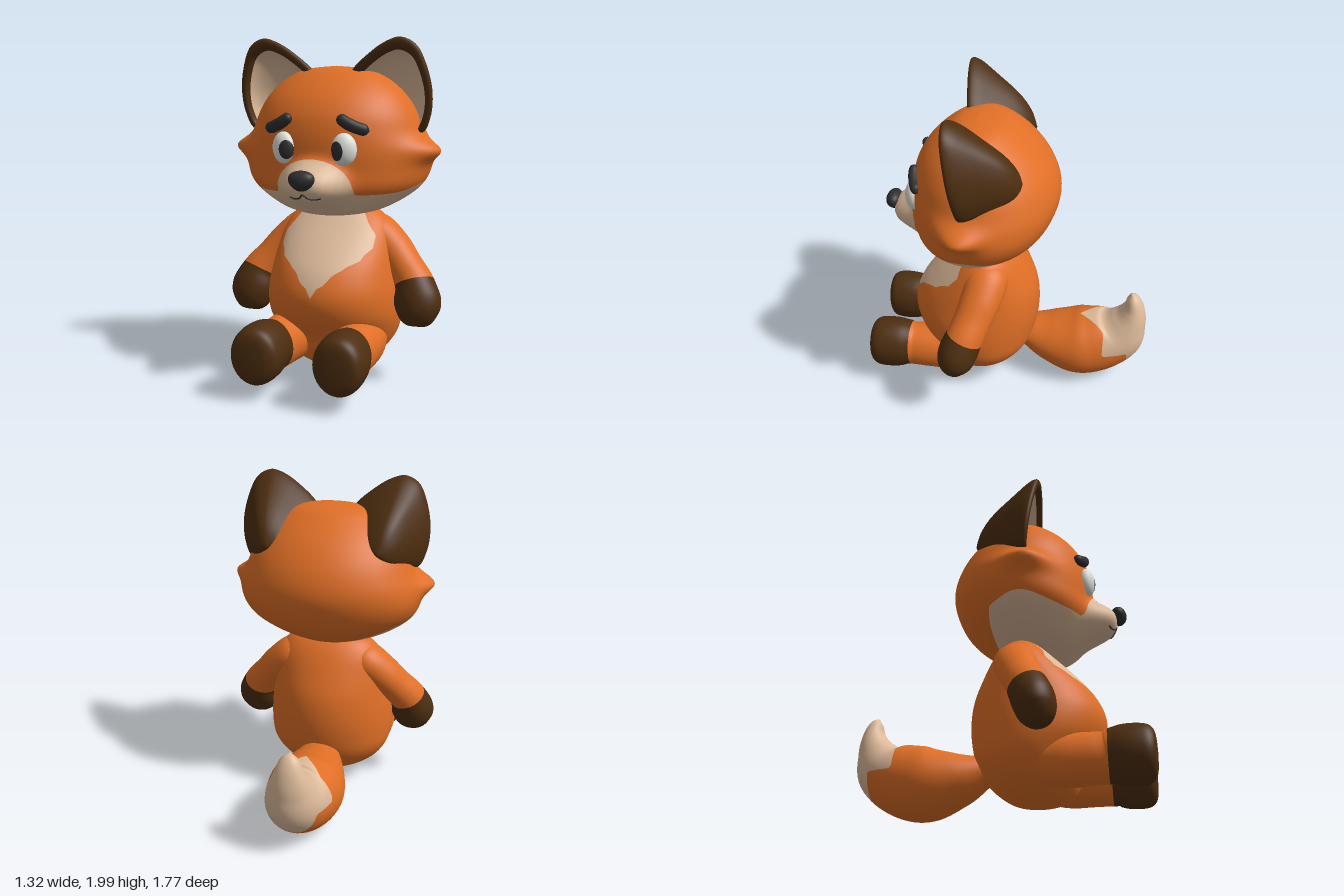
import * as THREE from 'three';
import { mergeVertices } from 'three/addons/utils/BufferGeometryUtils.js';

const mat = (name, color) => Object.assign(new THREE.MeshStandardMaterial({ color }), { name });
const V = (x, y, z) => new THREE.Vector3(x, y, z);
const X = V(1, 0, 0), Y = V(0, 1, 0), Z = V(0, 0, 1);
const bump = (d) => Math.exp(-d * d);

// Smooth value of a table of rows at t in 0..1
function sample(rows, t) {
  const f = Math.min(Math.max(t, 0), 1) * (rows.length - 1);
  const i = Math.min(Math.floor(f), rows.length - 2), s = f - i;
  const r = (k) => rows[Math.min(Math.max(k, 0), rows.length - 1)];
  return rows[0].map((_, c) => {
    const a = r(i - 1)[c], b = r(i)[c], d = r(i + 1)[c], e = r(i + 2)[c];
    return b + 0.5 * s * (d - a + s * (2 * a - 5 * b + 4 * d - e + s * (3 * (b - d) + e - a)));
  });
}

// Smooth skin over closed rings of points, always facing outwards
function skin(rings) {
  const n = rings[0].length, pos = rings.flat().flatMap((p) => [p.x, p.y, p.z]), index = [];
  for (let i = 0; i < rings.length - 1; i++) {
    for (let j = 0; j < n; j++) {
      const a = i * n + j, b = i * n + (j + 1) % n;
      index.push(a, b, a + n, b, b + n, a + n);
    }
  }
  const pts = rings.flat(), o = pts[0];
  let volume = 0;
  for (let i = 0; i < index.length; i += 3) {
    const [a, b, c] = [0, 1, 2].map((k) => pts[index[i + k]].clone().sub(o));
    volume += a.dot(b.cross(c));
  }
  if (volume < 0) index.reverse();
  const g = new THREE.BufferGeometry();
  g.setAttribute('position', new THREE.Float32BufferAttribute(pos, 3));
  g.setIndex(index);
  const merged = mergeVertices(g, 1e-5);
  merged.computeVertexNormals();
  return merged;
}

// Elliptical sections [x, y, z, radius along side, other radius]; level = horizontal sections
function loft(rows, { side = X, level = false, sign = 1, n = 40, steps = 48, shape = (p) => p }) {
  const rings = [];
  for (let i = 0; i <= steps; i++) {
    const t = i / steps, [x, y, z, ra, rb] = sample(rows, t);
    const tangent = level ? Y.clone()
      : V(...sample(rows, t + 0.01)).sub(V(...sample(rows, t - 0.01))).normalize();
    const other = tangent.clone().cross(side).normalize();
    const across = other.clone().cross(tangent);
    rings.push(Array.from({ length: n }, (_, j) => {
      const a = (j / n) * Math.PI * 2;
      const p = shape(V(x, y, z).addScaledVector(across, Math.max(ra, 0) * Math.cos(a))
        .addScaledVector(other, Math.max(rb, 0) * Math.sin(a)));
      p.x *= sign;
      return p;
    }));
  }
  return skin(rings);
}

// Cuts a surface cleanly along field = 0 and gives each side its own material
function painted(name, geo, field, inside, outside) {
  const g = geo.toNonIndexed(), P = g.attributes.position, N = g.attributes.normal;
  const pos = [], nor = [], out = new THREE.BufferGeometry();
  [1, -1].forEach((s, m) => {
    const start = pos.length / 3;
    for (let i = 0; i < P.count; i += 3) {
      const tri = [0, 1, 2].map((k) => {
        const p = V().fromBufferAttribute(P, i + k);
        return { p, n: V().fromBufferAttribute(N, i + k), f: s * field(p) };
      });
      const poly = [];
      tri.forEach((a, k) => {
        const b = tri[(k + 1) % 3];
        if (a.f >= 0) poly.push(a);
        if ((a.f >= 0) !== (b.f >= 0)) {
          const t = a.f / (a.f - b.f);
          poly.push({ p: a.p.clone().lerp(b.p, t), n: a.n.clone().lerp(b.n, t).normalize() });
        }
      });
      for (let k = 1; k < poly.length - 1; k++) {
        for (const q of [poly[0], poly[k], poly[k + 1]]) {
          pos.push(...q.p.toArray());
          nor.push(...q.n.toArray());
        }
      }
    }
    out.addGroup(start, pos.length / 3 - start, m);
  });
  out.setAttribute('position', new THREE.Float32BufferAttribute(pos, 3));
  out.setAttribute('normal', new THREE.Float32BufferAttribute(nor, 3));
  return Object.assign(new THREE.Mesh(out, [inside, outside]), { name });
}

export function createModel() {
  const fur = mat('orangeFur', 0xe06f26), cream = mat('creamFur', 0xdebb9b);
  const brown = mat('brownFur', 0x4d2e10), dark = mat('charcoal', 0x302e2f), white = mat('eyeWhite', 0xe0e2dc);
  const model = new THREE.Group();
  const add = (name, geo, m) => model.add(Object.assign(new THREE.Mesh(geo, m), { name }));

  // Head with pushed-out muzzle and pointed cheeks
  const headGeo = loft([
    [0, 1.845, 0.18, 0, 0], [0, 1.825, 0.165, 0.19, 0.125], [0, 1.77, 0.165, 0.31, 0.215],
    [0, 1.68, 0.16, 0.41, 0.315], [0, 1.58, 0.15, 0.475, 0.385], [0, 1.48, 0.138, 0.515, 0.422],
    [0, 1.38, 0.132, 0.55, 0.433], [0, 1.28, 0.14, 0.56, 0.42], [0, 1.18, 0.165, 0.52, 0.395],
    [0, 1.1, 0.185, 0.43, 0.335], [0, 1.03, 0.205, 0.3, 0.255], [0, 0.995, 0.205, 0.16, 0.165],
    [0, 0.985, 0.2, 0, 0],
  ], {
    level: true, n: 96, steps: 84,
    shape: (p) => {
      const r = (p.x / 0.17) ** 2 + ((p.y - 1.19) / 0.125) ** 2;
      const cheek = 0.09 * bump((p.y - 1.375) / 0.06) * bump((p.z - 0.22) / 0.13);
      if (p.z > 0.2) p.z += 0.145 * bump(r);
      if (Math.abs(p.x) > 0.3) p.x += Math.sign(p.x) * cheek;
      return p;
    },
  });
  model.add(painted('head', headGeo, (p) => {
    const jaw = Math.min(1.14 + 0.05 * bump((p.z - 0.17) / 0.15) - p.y, p.z + 0.03 - 3.7 * (p.y - 1.09) ** 2);
    const muzzle = 0.2 * (1 - Math.hypot(p.x / 0.225, (p.y - 1.16) / 0.18));
    return Math.max(jaw, Math.min(muzzle, p.z - 0.4));
  }, cream, fur));

  // Finds the front surface of the head
  const probe = new THREE.Mesh(headGeo, fur);
  const onHead = (x, y, lift) => {
    const hit = new THREE.Raycaster(V(x, y, 3), V(0, 0, -1)).intersectObject(probe)[0];
    return V(x, y, hit.point.z + lift);
  };

  // Nose, narrower towards the bottom
  const nose = new THREE.SphereGeometry(1, 32, 20);
  const np = nose.attributes.position;
  for (let i = 0; i < np.count; i++) np.setX(i, np.getX(i) * (1 + 0.22 * np.getY(i)));
  nose.scale(0.073, 0.056, 0.05).translate(0, 1.237, 0.715);
  nose.computeVertexNormals();
  add('nose', nose, dark);

  // Mouth line following the muzzle
  const lip = [[-0.09, 1.14], [-0.06, 1.133], [-0.025, 1.14], [0, 1.16], [0.025, 1.14], [0.06, 1.133], [0.09, 1.14]];
  const lipCurve = new THREE.CatmullRomCurve3(lip.map(([x, y]) => onHead(x, y, 0.001)));
  add('mouth', new THREE.TubeGeometry(lipCurve, 40, 0.005, 6), dark);

  // Body with a ragged chest patch
  const bodyGeo = loft([
    [0, 1.05, 0.14, 0.14, 0.08], [0, 1.0, 0.13, 0.25, 0.14], [0, 0.92, 0.14, 0.32, 0.21],
    [0, 0.8, 0.17, 0.355, 0.3], [0, 0.68, 0.195, 0.375, 0.37], [0, 0.55, 0.21, 0.395, 0.4],
    [0, 0.42, 0.2, 0.4, 0.38], [0, 0.3, 0.17, 0.38, 0.32], [0, 0.2, 0.18, 0.32, 0.27],
    [0, 0.12, 0.2, 0.22, 0.2], [0, 0.082, 0.2, 0.12, 0.12], [0, 0.07, 0.2, 0, 0],
  ], { level: true, n: 80, steps: 88 });
  const patch = [[0.56, 0], [0.62, 0.035], [0.635, 0.07], [0.69, 0.11], [0.71, 0.15], [0.735, 0.18], [0.75, 0.23],
    [0.79, 0.25], [0.81, 0.28], [0.88, 0.28], [0.94, 0.23], [1.0, 0.19], [1.1, 0.15]];
  model.add(painted('body', bodyGeo, (p) => {
    const k = Math.min(Math.max(patch.findIndex(([y]) => y > p.y), 1), patch.length - 1);
    const [[y0, w0], [y1, w1]] = [patch[k - 1], patch[k]];
    return Math.min(w0 + (w1 - w0) * (p.y - y0) / (y1 - y0) - Math.abs(p.x), p.z - 0.18);
  }, cream, fur));

  // Tail curling up to a pale tip
  const tailGeo = loft([
    [0, 0.28, -0.04, 0.08, 0.06], [0, 0.28, -0.13, 0.13, 0.1], [0, 0.25, -0.27, 0.19, 0.16],
    [0, 0.232, -0.44, 0.23, 0.217], [0, 0.258, -0.58, 0.215, 0.217], [0, 0.33, -0.71, 0.175, 0.185],
    [0, 0.44, -0.775, 0.13, 0.118], [0, 0.54, -0.798, 0.09, 0.072], [0, 0.625, -0.788, 0.05, 0.038],
    [0, 0.66, -0.775, 0, 0],
  ], { n: 56, steps: 72 });
  model.add(painted('tail', tailGeo, (p) => Math.max(
    Math.min(-0.62 - p.z, p.y - 0.28), -0.78 - p.z,
    Math.min(-0.46 - 1.2 * Math.abs(p.x) - p.z, p.y - 0.38),
  ), cream, fur));

  // Ear opening outline, and its shell: [scale of outline, depth], from back apex over rim to hollow
  const earOutline = new THREE.CatmullRomCurve3([[0.1, 1.78], [0.25, 1.93], [0.36, 1.99], [0.42, 2.0], [0.5, 1.96],
    [0.555, 1.85], [0.585, 1.7], [0.57, 1.56], [0.52, 1.47], [0.3, 1.5], [0.14, 1.65]].map(([x, y]) => V(x, y, 0)), true);
  const shell = [[0, -0.34], [0.25, -0.315], [0.5, -0.25], [0.8, -0.12], [0.95, -0.05], [1, -0.01], [0.985, 0.01],
    [0.92, 0.018], [0.86, 0.01], [0.82, -0.015]];
  const hollow = [[0.82, -0.015], [0.7, -0.07], [0.4, -0.12], [0, -0.14]];

  for (const [label, sign] of [['left', 1], ['right', -1]]) {
    const earRings = (rows, steps) => Array.from({ length: steps + 1 }, (_, i) => {
      const [s, d] = sample(rows, i / steps);
      return earOutline.getPoints(56).slice(0, 56).map((o) => {
        const x = 0.33 + s * (o.x - 0.33), y = 1.62 + s * (o.y - 1.62);
        return V(sign * x, y, 0.2 + 0.17 * (y - 1.48) + d);
      });
    });
    add(label + 'Ear', skin(earRings(shell, 30)), brown);
    // The hollow is seen from its open front
    const inner = skin(earRings(hollow, 10));
    inner.index.array.reverse();
    inner.computeVertexNormals();
    add(label + 'InnerEar', inner, cream);

    // Eye with a pupil looking inwards
    const eye = new THREE.SphereGeometry(1, 40, 28).scale(0.07, 0.09, 0.05);
    eye.rotateY(sign * 0.25).translate(sign * 0.178, 1.395, 0.54);
    model.add(painted(label + 'Eye', eye, (p) => Math.min(
      1 - Math.hypot((p.x - sign * 0.148) / 0.039, (p.y - 1.388) / 0.053), (p.z - 0.54) * 20,
    ), dark, white));

    // Worried eyebrow
    const brow = [[0.137, 1.575, 0], [0.15, 1.565, 0.028], [0.185, 1.54, 0.034], [0.235, 1.515, 0.034],
      [0.285, 1.498, 0.03], [0.305, 1.492, 0]].map(([x, y, r]) => [...onHead(x, y, 0.01).toArray(), r * 0.9, r]);
    add(label + 'Eyebrow', loft(brow, { side: Z, sign, n: 20, steps: 30 }), dark);

    // Arm ending in a paw
    const arm = loft([
      [0.14, 0.93, 0.11, 0.06, 0.05], [0.22, 0.88, 0.11, 0.13, 0.11], [0.33, 0.79, 0.13, 0.125, 0.11],
      [0.42, 0.69, 0.17, 0.115, 0.105], [0.49, 0.6, 0.21, 0.115, 0.115], [0.52, 0.51, 0.245, 0.12, 0.138],
      [0.535, 0.43, 0.265, 0.105, 0.12], [0.548, 0.375, 0.275, 0.06, 0.07], [0.55, 0.358, 0.278, 0, 0],
    ], { side: Z, sign });
    model.add(painted(label + 'Arm', arm, (p) => 0.61 + 0.37 * (Math.abs(p.x) - 0.5) + 0.45 * (p.z - 0.22) - p.y, brown, fur));

    // Leg stretched forward with a blunt foot
    const leg = loft([
      [0.2, 0.28, 0.15, 0.12, 0.12], [0.215, 0.265, 0.35, 0.145, 0.15], [0.225, 0.264, 0.5, 0.14, 0.148],
      [0.23, 0.264, 0.6, 0.13, 0.147], [0.235, 0.27, 0.645, 0.135, 0.158], [0.24, 0.272, 0.7, 0.145, 0.17],
      [0.243, 0.27, 0.78, 0.147, 0.172], [0.245, 0.27, 0.84, 0.135, 0.158], [0.245, 0.27, 0.872, 0.09, 0.11],
      [0.245, 0.27, 0.88, 0, 0],
    ], { sign });
    model.add(painted(label + 'Leg', leg, (p) => p.z - 0.615, brown, fur));
  }
  return model;
}
